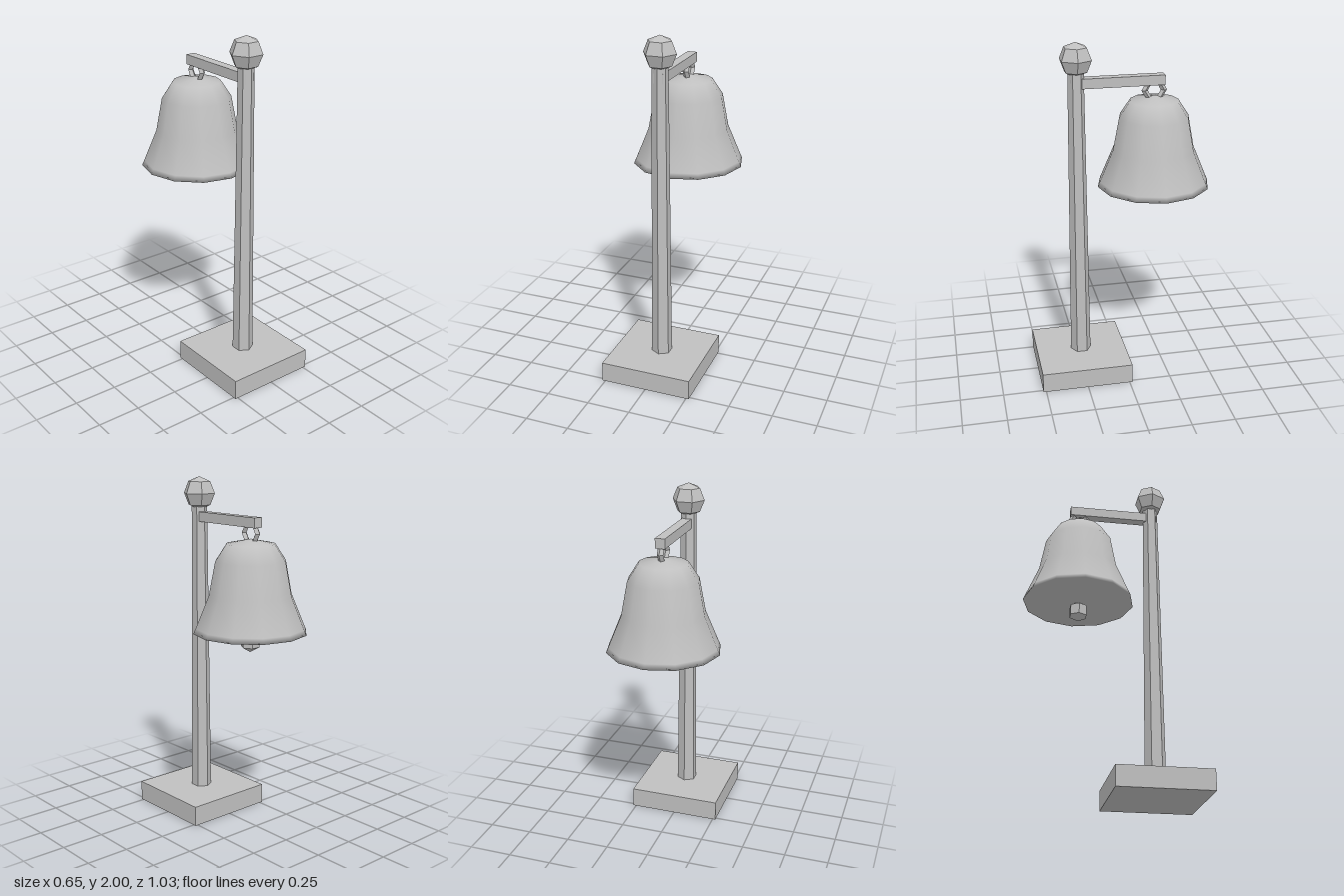
import * as THREE from 'three';

export function createModel() {
  const group = new THREE.Group();
  const grey = new THREE.MeshStandardMaterial({ color: 0xbfbfbf });
  grey.name = 'grey';

  const add = (name, geometry, x, y, z) => {
    const mesh = new THREE.Mesh(geometry, grey);
    mesh.name = name;
    mesh.position.set(x, y, z);
    group.add(mesh);
    return mesh;
  };
  // Faceted version of a geometry
  const faceted = (geometry) => {
    const g = geometry.toNonIndexed();
    g.computeVertexNormals();
    return g;
  };

  const postZ = 0.25, bellZ = -0.19;

  // Stand: square base, tapered hexagonal post, knob and arm
  add('base', new THREE.BoxGeometry(0.534, 0.117, 0.534), 0, 0.0585, postZ);
  add('post', faceted(new THREE.CylinderGeometry(0.045, 0.06, 1.735, 6)), 0, 0.9825, postZ);
  add('knob', faceted(new THREE.SphereGeometry(0.095, 6, 4)), 0, 1.905, postZ);
  add('arm', new THREE.BoxGeometry(0.056, 0.056, 0.528), 0, 1.773, 0.017);

  // Hanging ring, standing in the plane of the arm
  const ring = add('ring', faceted(new THREE.TorusGeometry(0.055, 0.018, 4, 6)), 0, 1.712, bellZ);
  ring.rotation.y = Math.PI / 2;

  // Bell with closed underside, smooth across twelve sides
  const profile = [
    [0, 1.16], [0.324, 1.16], [0.311, 1.19], [0.236, 1.37],
    [0.2, 1.56], [0.138, 1.655], [0, 1.682],
  ].map(([r, y]) => new THREE.Vector2(r, y));
  add('bell', new THREE.LatheGeometry(profile, 12), 0, 0, bellZ);

  // Clapper below the bell
  add('clapper', faceted(new THREE.SphereGeometry(0.062, 6, 3)), 0, 1.104, bellZ);

  return group;
}
